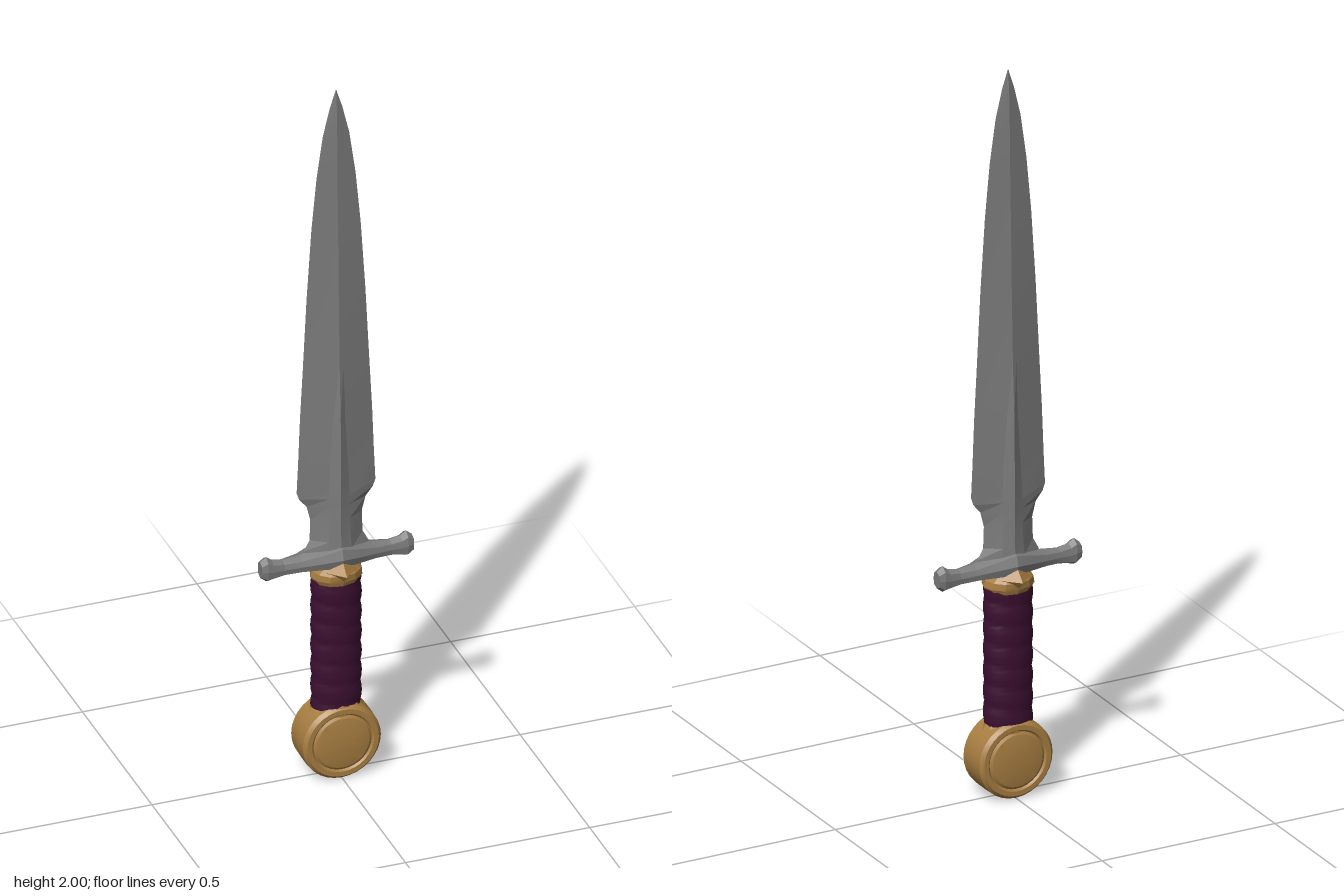
import * as THREE from 'three';
import { toCreasedNormals } from 'three/addons/utils/BufferGeometryUtils.js';

const steel = new THREE.MeshStandardMaterial({ color: 0x7c7c7c });
steel.name = 'steel';
const gold = new THREE.MeshStandardMaterial({ color: 0xa87e42 });
gold.name = 'gold';
const leather = new THREE.MeshStandardMaterial({ color: 0x3c0f30 });
leather.name = 'purpleLeather';

// Skin a list of closed rings (counter-clockwise along the loft direction) and cap both ends.
function loft(rings, crease = 0.3) {
  const n = rings[0].length;
  const index = [];
  for (let i = 0; i < rings.length - 1; i++) {
    for (let j = 0; j < n; j++) {
      const a = i * n + j, b = i * n + (j + 1) % n;
      index.push(a, b, b + n, a, b + n, a + n);
    }
  }
  const last = (rings.length - 1) * n;
  for (let j = 1; j < n - 1; j++) {
    index.push(0, j + 1, j, last, last + j, last + j + 1);
  }
  const geometry = new THREE.BufferGeometry();
  geometry.setAttribute('position', new THREE.Float32BufferAttribute(rings.flat(2), 3));
  geometry.setIndex(index);
  return toCreasedNormals(geometry, crease);
}

// Oval ring lying across the y axis
function oval(y, rx, rz, sides, bump = () => 0) {
  return Array.from({ length: sides }, (_, j) => {
    const a = (j / sides) * Math.PI * 2;
    const k = 1 + bump(a);
    return [Math.cos(a) * rx * k, y, -Math.sin(a) * rz * k];
  });
}

function add(parent, name, geometry, material) {
  const mesh = new THREE.Mesh(geometry, material);
  mesh.name = name;
  parent.add(mesh);
  return mesh;
}

export function createModel() {
  const dagger = new THREE.Group();
  dagger.name = 'dagger';

  // Blade: height, half width, spine half width, shoulder depth, spine depth
  const bladeStations = [
    [0.62, 0.095, 0.034, 0.032, 0.042],
    [0.66, 0.088, 0.032, 0.03, 0.04],
    [0.69, 0.072, 0.03, 0.028, 0.038],
    [0.75, 0.07, 0.028, 0.026, 0.037],
    [0.79, 0.08, 0.028, 0.024, 0.037],
    [0.815, 0.1, 0.028, 0.024, 0.037],
    [0.835, 0.107, 0.028, 0.023, 0.037],
    [0.92, 0.103, 0.024, 0.022, 0.036],
    [1.05, 0.098, 0.016, 0.024, 0.034],
    [1.2, 0.09, 0.012, 0.022, 0.026],
    [1.4, 0.08, 0.012, 0.017, 0.02],
    [1.6, 0.067, 0.012, 0.012, 0.015],
    [1.75, 0.053, 0.01, 0.009, 0.011],
    [1.87, 0.036, 0.007, 0.007, 0.009],
    [1.95, 0.017, 0.003, 0.005, 0.006],
    [2.0, 0.001, 0.0003, 0.0005, 0.001],
  ];
  add(dagger, 'blade', loft(bladeStations.map(([y, w, s, m, t]) => [
    [w, y, 0], [s, y, -m], [0, y, -t], [-s, y, -m],
    [-w, y, 0], [-s, y, m], [0, y, t], [s, y, m],
  ]), 0.15), steel);

  // Crossguard: distance out, bottom, top, half depth
  const halfGuard = [
    [0, 0.605, 0.685, 0.056],
    [0.05, 0.607, 0.668, 0.042],
    [0.1, 0.607, 0.652, 0.026],
    [0.145, 0.604, 0.648, 0.018],
    [0.175, 0.598, 0.654, 0.019],
    [0.19, 0.594, 0.665, 0.021],
    [0.206, 0.607, 0.652, 0.017],
  ];
  const guardStations = [
    ...halfGuard.slice(1).reverse().map(([x, ...rest]) => [-x, ...rest]),
    ...halfGuard,
  ];
  add(dagger, 'crossguard', loft(guardStations.map(([x, lo, hi, d]) => {
    const c = (lo + hi) / 2, h = (hi - lo) * 0.34;
    return [
      [x, hi, 0], [x, c + h, d * 0.85], [x, c, d], [x, c - h, d * 0.85],
      [x, lo, 0], [x, c - h, -d * 0.85], [x, c, -d], [x, c + h, -d * 0.85],
    ];
  }), 0.2), steel);

  // Collar under the guard, with a pointed stud on front and back
  add(dagger, 'collar', loft([
    oval(0.568, 0.062, 0.052, 12), oval(0.582, 0.07, 0.058, 12),
    oval(0.6, 0.066, 0.06, 12), oval(0.618, 0.045, 0.05, 12),
  ]), gold);
  for (const side of [1, -1]) {
    const stud = add(dagger, side > 0 ? 'frontStud' : 'backStud',
      toCreasedNormals(new THREE.ConeGeometry(0.041, 0.04, 4), 0.2), gold);
    stud.rotation.x = side * Math.PI / 2;
    stud.position.set(0, 0.608, side * 0.06);
  }

  // Grip: an oval column swollen by a spiral wrap
  const gripRings = [];
  const steps = 56, bottom = 0.2, top = 0.577;
  for (let i = 0; i <= steps; i++) {
    const t = i / steps;
    gripRings.push(oval(bottom + (top - bottom) * t, 0.064, 0.047, 24, (a) => {
      const wave = Math.abs(Math.sin(t * Math.PI * 6.5 + a / 2));
      return 0.085 * Math.sqrt(wave) - 0.03;
    }));
  }
  add(dagger, 'grip', loft(gripRings, 0.7), leather);

  // Pommel: a thick disc facing front and back, with a domed centre inside a groove
  const halfProfile = [
    [0.0001, 0.058], [0.045, 0.057], [0.072, 0.052], [0.079, 0.047],
    [0.084, 0.052], [0.097, 0.052], [0.106, 0.042], [0.107, 0.02],
  ];
  const profile = [
    ...halfProfile.map(([r, z]) => new THREE.Vector2(r, -z)),
    ...halfProfile.slice().reverse().map(([r, z]) => new THREE.Vector2(r, z)),
  ];
  const pommel = add(dagger, 'pommel',
    toCreasedNormals(new THREE.LatheGeometry(profile, 32), 0.4), gold);
  pommel.rotation.x = Math.PI / 2;
  pommel.position.y = 0.107;

  // Seat joining pommel and grip
  add(dagger, 'pommelSeat', loft([
    oval(0.165, 0.085, 0.05, 16), oval(0.205, 0.062, 0.05, 16), oval(0.217, 0.052, 0.045, 16),
  ]), gold);

  return dagger;
}
